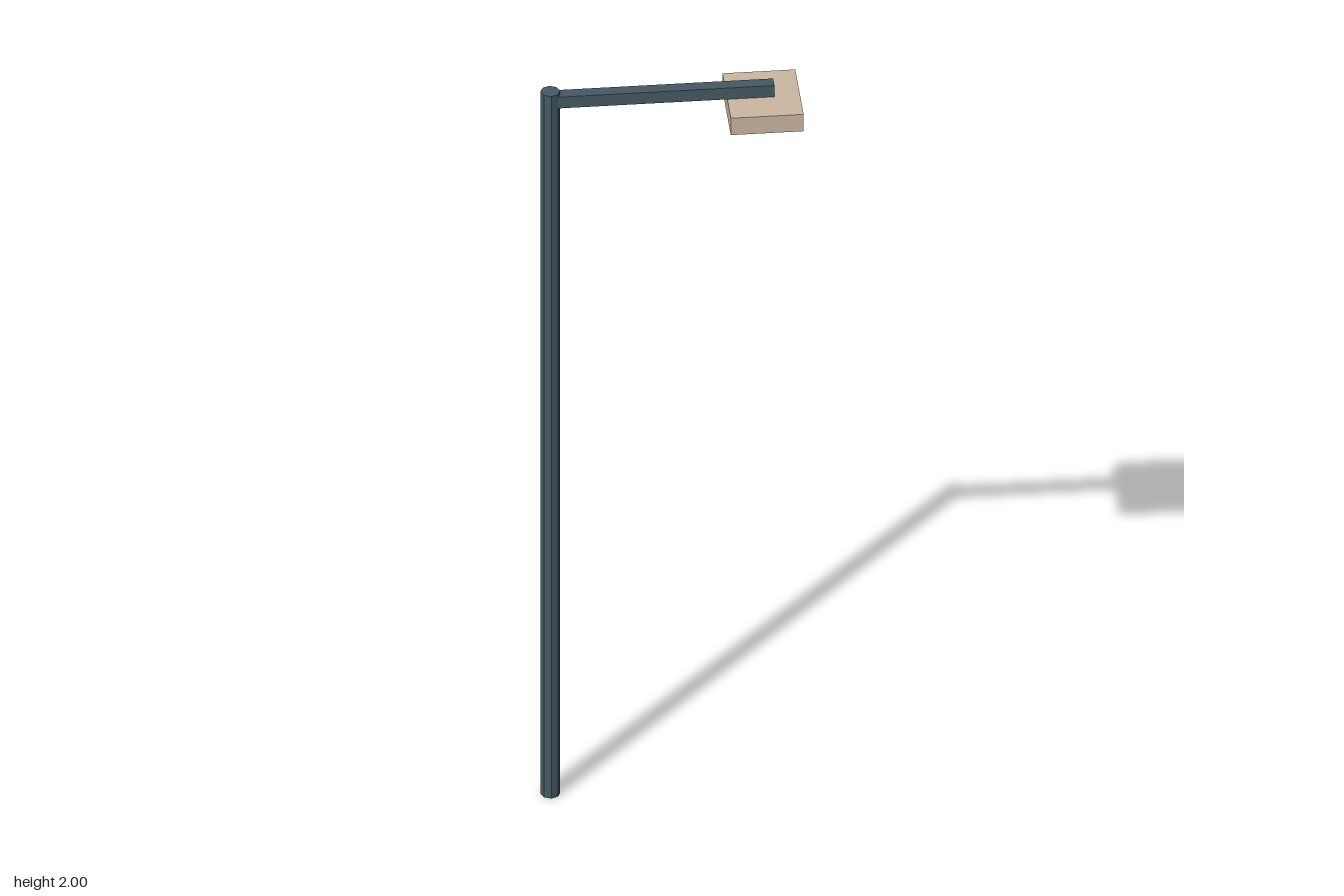
import * as THREE from 'three';

export function createModel() {
  const group = new THREE.Group();
  const metal = new THREE.MeshStandardMaterial({ color: 0x455a64, flatShading: true });
  const lamp = new THREE.MeshStandardMaterial({ color: 0xcbb8a3, flatShading: true });

  const add = (name, geometry, material, x, y) => {
    const mesh = new THREE.Mesh(geometry, material);
    mesh.name = name;
    mesh.position.set(x, y, 0);
    group.add(mesh);
  };

  // Octagonal upright
  const poleX = -0.289, poleRadius = 0.024;
  add('pole', new THREE.CylinderGeometry(poleRadius, poleRadius, 2, 8), metal, poleX, 1);

  // Horizontal arm, running from the middle of the pole
  const armEnd = 0.251;
  add('arm', new THREE.BoxGeometry(armEnd - poleX, 0.032, 0.032), metal, (armEnd + poleX) / 2, 1.976);

  // Lamp head hung under the end of the arm
  add('lampHead', new THREE.BoxGeometry(0.176, 0.048, 0.202), lamp, 0.225, 1.936);

  return group;
}
